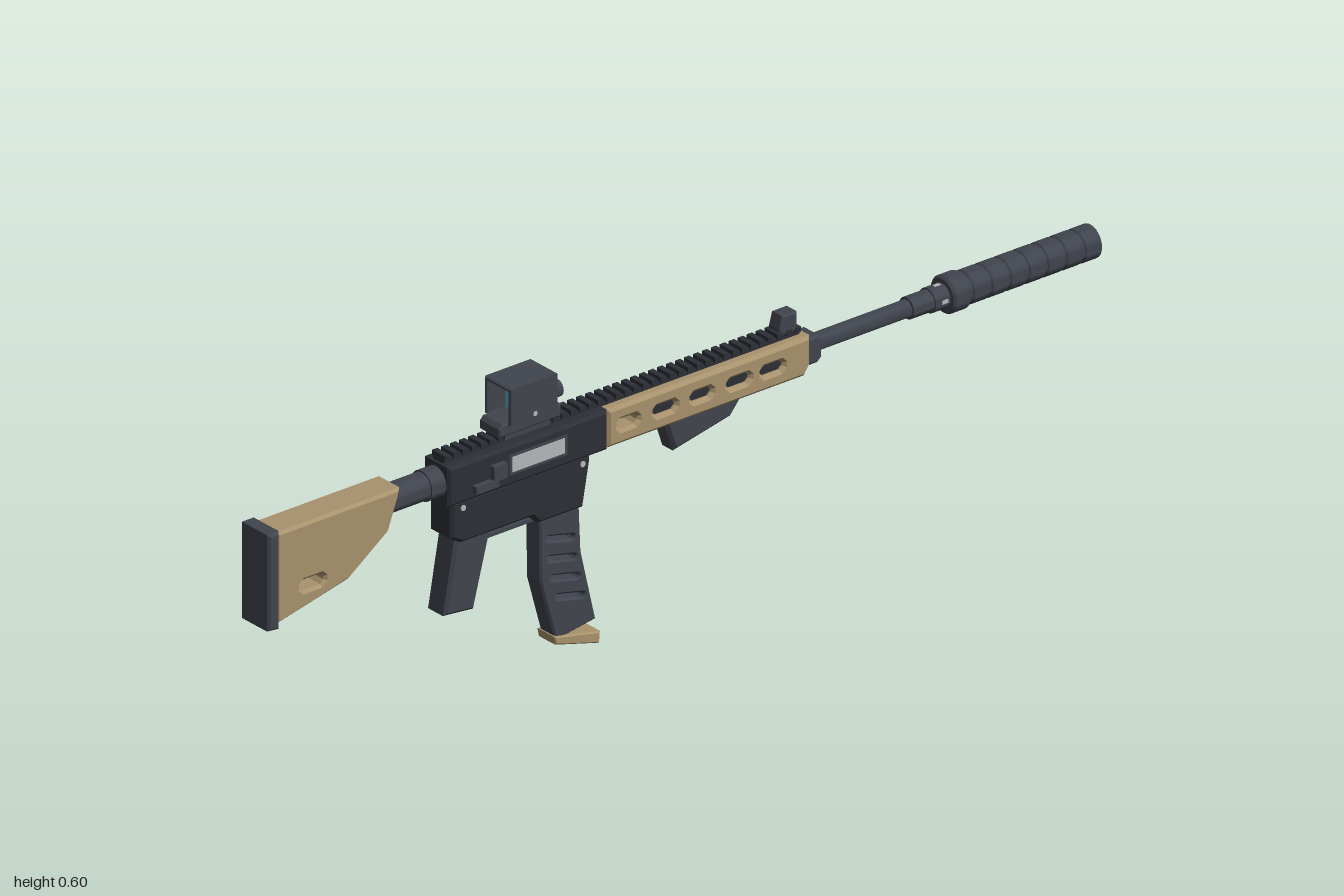
import * as THREE from 'three';
import { toCreasedNormals } from 'three/addons/utils/BufferGeometryUtils.js';

const mat = (name, color) => Object.assign(new THREE.MeshStandardMaterial({ color }), { name });

export function createModel() {
  const root = new THREE.Group();
  root.name = 'rifle';
  const body = new THREE.Group();
  body.name = 'rifleBody';
  body.position.x = -0.005;
  root.add(body);

  const gunmetal = mat('gunmetal', 0x40444d);
  const charcoal = mat('charcoal', 0x2c2f36);
  const tan = mat('tan', 0xa8926d);
  const steel = mat('steel', 0xb4b8b8);
  const glass = mat('glass', 0x5aaad0);
  glass.side = THREE.DoubleSide;
  const red = mat('red', 0xd03a3a);
  const AXIS = 0.443;

  const add = (name, geo, m, x = 0, y = 0, z = 0) => {
    const mesh = new THREE.Mesh(geo, m);
    mesh.name = name;
    mesh.position.set(x, y, z);
    body.add(mesh);
    return mesh;
  };
  // Box given by its limits along each axis
  const box = (name, m, [x0, x1], [y0, y1], [z0, z1]) =>
    add(name, new THREE.BoxGeometry(x1 - x0, y1 - y0, Math.abs(z1 - z0)), m, (x0 + x1) / 2, (y0 + y1) / 2, (z0 + z1) / 2);
  // Side profile of [z, y] points, extruded across x with chamfered edges
  const side = (name, m, pts, width, bevel = 0.005, holes = []) => {
    const v = (list) => list.map(([z, y]) => new THREE.Vector2(z, y));
    const shape = new THREE.Shape(v(pts));
    shape.holes = holes.map((h) => new THREE.Path(v(h)));
    const depth = width - 2 * bevel;
    const geo = new THREE.ExtrudeGeometry(shape, {
      depth, bevelEnabled: bevel > 0, bevelThickness: bevel, bevelSize: bevel, bevelOffset: -bevel, bevelSegments: 1,
    });
    geo.translate(0, 0, -depth / 2).rotateY(-Math.PI / 2);
    return add(name, geo, m);
  };
  // Turned part along the bore, from [z, radius] points running towards the muzzle
  const turned = (name, m, pts, y = AXIS) => {
    const geo = new THREE.LatheGeometry(pts.map(([z, r]) => new THREE.Vector2(r, -z)), 24);
    return add(name, toCreasedNormals(geo.rotateX(-Math.PI / 2), 0.6), m, 0, y, 0);
  };
  // Cylinder lying across x
  const pin = (name, m, r, len, x, y, z) =>
    add(name, toCreasedNormals(new THREE.CylinderGeometry(r, r, len, 16).rotateZ(Math.PI / 2), 0.6), m, x, y, z);
  // Slot outline with cut corners, optionally sloping
  const slot = (z0, z1, y, h, slope = 0) => {
    const c = h * 0.35, a = h / 2, s = slope;
    return [[z0, y - a + c], [z0 + c, y - a], [z1 - c, y - a + s], [z1, y - a + c + s],
      [z1, y + a - c + s], [z1 - c, y + a + s], [z0 + c, y + a], [z0, y + a - c]];
  };

  // Stock
  side('buttPlate', gunmetal, [[1, 0.283], [1, 0.482], [0.972, 0.482], [0.972, 0.28]], 0.083);
  side('stock', tan, [[0.975, 0.287], [0.975, 0.477], [0.678, 0.477], [0.682, 0.458], [0.705, 0.395], [0.8, 0.327]],
    0.071, 0.006, [slot(0.86, 0.918, 0.348, 0.022)]);
  turned('bufferTube', gunmetal, [[0.7, 0], [0.7, 0.028], [0.6, 0.028], [0.6, 0.031], [0.56, 0.031], [0.56, 0]]);

  // Receiver
  side('upperReceiver', charcoal, [[0.566, 0.4], [0.566, 0.482], [0.184, 0.482], [0.184, 0.4]], 0.076, 0.006);
  side('lowerReceiver', charcoal, [[0.555, 0.405], [0.222, 0.405], [0.222, 0.385], [0.238, 0.297], [0.345, 0.297],
    [0.36, 0.315], [0.53, 0.315], [0.555, 0.33]], 0.066, 0.006);
  box('ejectionPort', steel, [0.036, 0.04], [0.428, 0.459], [0.29, 0.415]);
  box('portFrame', gunmetal, [0.035, 0.0385], [0.422, 0.465], [0.283, 0.422]);
  box('forwardAssist', gunmetal, [0.03, 0.051], [0.428, 0.458], [0.435, 0.467]);
  box('boltLever', gunmetal, [0.03, 0.05], [0.415, 0.43], [0.455, 0.51]);
  box('magazineButton', gunmetal, [-0.044, -0.03], [0.352, 0.382], [0.355, 0.385]);
  box('selectorLever', gunmetal, [-0.042, -0.03], [0.365, 0.377], [0.45, 0.49]);
  box('selectorMark', red, [-0.036, -0.0325], [0.376, 0.386], [0.495, 0.512]);
  for (const z of [0.528, 0.242]) pin('receiverPin', steel, 0.006, 0.07, 0, 0.388, z);

  // Grip, trigger and guard
  side('pistolGrip', gunmetal, [[0.54, 0.325], [0.458, 0.325], [0.458, 0.305], [0.495, 0.165], [0.567, 0.172]], 0.055, 0.006);
  box('triggerGuard', gunmetal, [-0.012, 0.012], [0.293, 0.3], [0.34, 0.465]);
  side('trigger', gunmetal, [[0.425, 0.325], [0.41, 0.325], [0.405, 0.296], [0.413, 0.296]], 0.014, 0.001);

  // Magazine with sloping slots
  const magSlots = [[0.252, 0.318, 0.237], [0.248, 0.316, 0.195], [0.24, 0.308, 0.153], [0.228, 0.296, 0.11]]
    .map(([a, b, y]) => slot(a, b, y, 0.01, 0.014));
  side('magazine', gunmetal, [[0.335, 0.31], [0.24, 0.31], [0.235, 0.2], [0.2, 0.05], [0.297, 0.035], [0.333, 0.165]],
    0.044, 0.004, magSlots);
  side('magazineBase', tan, [[0.304, 0.047], [0.3, 0.029], [0.195, 0.0], [0.193, 0.024]], 0.053, 0.003);

  // Handguard with a row of side slots and a dark core behind them
  const guardSlots = [[0.11, 0.158], [0.019, 0.072], [-0.067, -0.017], [-0.158, -0.104], [-0.238, -0.185]];
  side('handguard', tan, [[0.184, 0.401], [0.184, 0.481], [-0.303, 0.481], [-0.303, 0.42], [-0.29, 0.401]],
    0.072, 0.007, guardSlots.map(([a, b]) => slot(a, b, 0.441, 0.02)));
  box('handguardCore', charcoal, [-0.025, 0.025], [0.425, 0.458], [-0.3, 0.09]);
  for (const z of [0.11, -0.2]) box('bottomSlot', charcoal, [-0.009, 0.009], [0.399, 0.403], [z - 0.025, z + 0.025]);
  side('handStop', gunmetal, [[0.032, 0.405], [0.032, 0.395], [0.012, 0.336], [-0.125, 0.365], [-0.15, 0.395], [-0.15, 0.405]], 0.044, 0.007);

  // Top rail
  box('railBase', charcoal, [-0.015, 0.015], [0.478, 0.489], [-0.292, 0.56]);
  for (let i = 0; i < 40; i++) {
    const z = 0.553 - i * 0.0215;
    box('railTooth', charcoal, [-0.019, 0.019], [0.487, 0.498], [z - 0.0062, z + 0.0062]);
  }
  side('frontSight', gunmetal, [[-0.243, 0.49], [-0.243, 0.505], [-0.25, 0.53], [-0.285, 0.53], [-0.285, 0.49]], 0.034, 0.003);

  // Barrel and suppressor
  side('gasBlock', gunmetal, [[-0.295, 0.412], [-0.295, 0.47], [-0.33, 0.47], [-0.34, 0.46], [-0.34, 0.42], [-0.33, 0.412]], 0.05, 0.006);
  turned('barrel', gunmetal, [[-0.3, 0], [-0.3, 0.0175], [-0.56, 0.0175], [-0.56, 0.022], [-0.61, 0.022],
    [-0.61, 0.025], [-0.65, 0.025], [-0.65, 0]]);
  for (let i = 0; i < 4; i++) {
    const a = (i * Math.PI) / 2;
    add('muzzlePort', new THREE.BoxGeometry(0.008, 0.008, 0.014), steel, 0.0215 * Math.cos(a), AXIS + 0.0215 * Math.sin(a), -0.632);
  }
  const can = [[-0.645, 0], [-0.645, 0.034], [-0.65, 0.038], [-0.683, 0.038], [-0.688, 0.034]];
  const rings = 7, pitch = (1 - 0.688) / rings;
  for (let i = 0; i < rings; i++) {
    const z = -0.688 - i * pitch;
    can.push([z, 0.031], [z - 0.006, 0.031], [z - 0.009, 0.034], [z - pitch, 0.034]);
  }
  can.push([-1, 0.01], [-0.97, 0.01], [-0.97, 0]);
  turned('suppressor', gunmetal, can);

  // Reflex sight: base, open hood, glass and reticle
  box('sightMount', gunmetal, [-0.023, 0.023], [0.488, 0.503], [0.31, 0.42]);
  side('sightBase', gunmetal, [[0.438, 0.501], [0.438, 0.518], [0.43, 0.526], [0.29, 0.526], [0.29, 0.501]], 0.06, 0.003);
  const hood = new THREE.Shape([[-0.039, 0.521], [0.039, 0.521], [0.039, 0.598], [-0.039, 0.598]].map((p) => new THREE.Vector2(...p)));
  hood.holes.push(new THREE.Path([[-0.03, 0.526], [-0.03, 0.59], [0.03, 0.59], [0.03, 0.526]].map((p) => new THREE.Vector2(...p))));
  add('sightHood', new THREE.ExtrudeGeometry(hood, {
    depth: 0.107, bevelThickness: 0.003, bevelSize: 0.002, bevelOffset: -0.002, bevelSegments: 1,
  }), gunmetal, 0, 0, 0.308);
  add('sightGlass', new THREE.PlaneGeometry(0.061, 0.066), glass, 0, 0.558, 0.375);
  add('reticleRing', new THREE.RingGeometry(0.0108, 0.013, 32), red, 0, 0.558, 0.377);
  add('reticleDot', new THREE.CircleGeometry(0.0018, 12), red, 0, 0.558, 0.377);
  for (let i = 0; i < 4; i++) {
    const a = (i * Math.PI) / 2;
    const tick = add('reticleTick', new THREE.PlaneGeometry(0.005, 0.002), red, 0.0135 * Math.cos(a), 0.558 + 0.0135 * Math.sin(a), 0.377);
    tick.rotation.z = a;
  }
  pin('sightKnob', gunmetal, 0.008, 0.014, -0.035, 0.512, 0.4);
  pin('sightScrew', steel, 0.005, 0.08, 0, 0.532, 0.36);
  turned('batteryCap', gunmetal, [[0.31, 0], [0.31, 0.013], [0.285, 0.013], [0.285, 0.017], [0.264, 0.017], [0.264, 0]], 0.536)
    .position.x = -0.012;

  return root;
}
